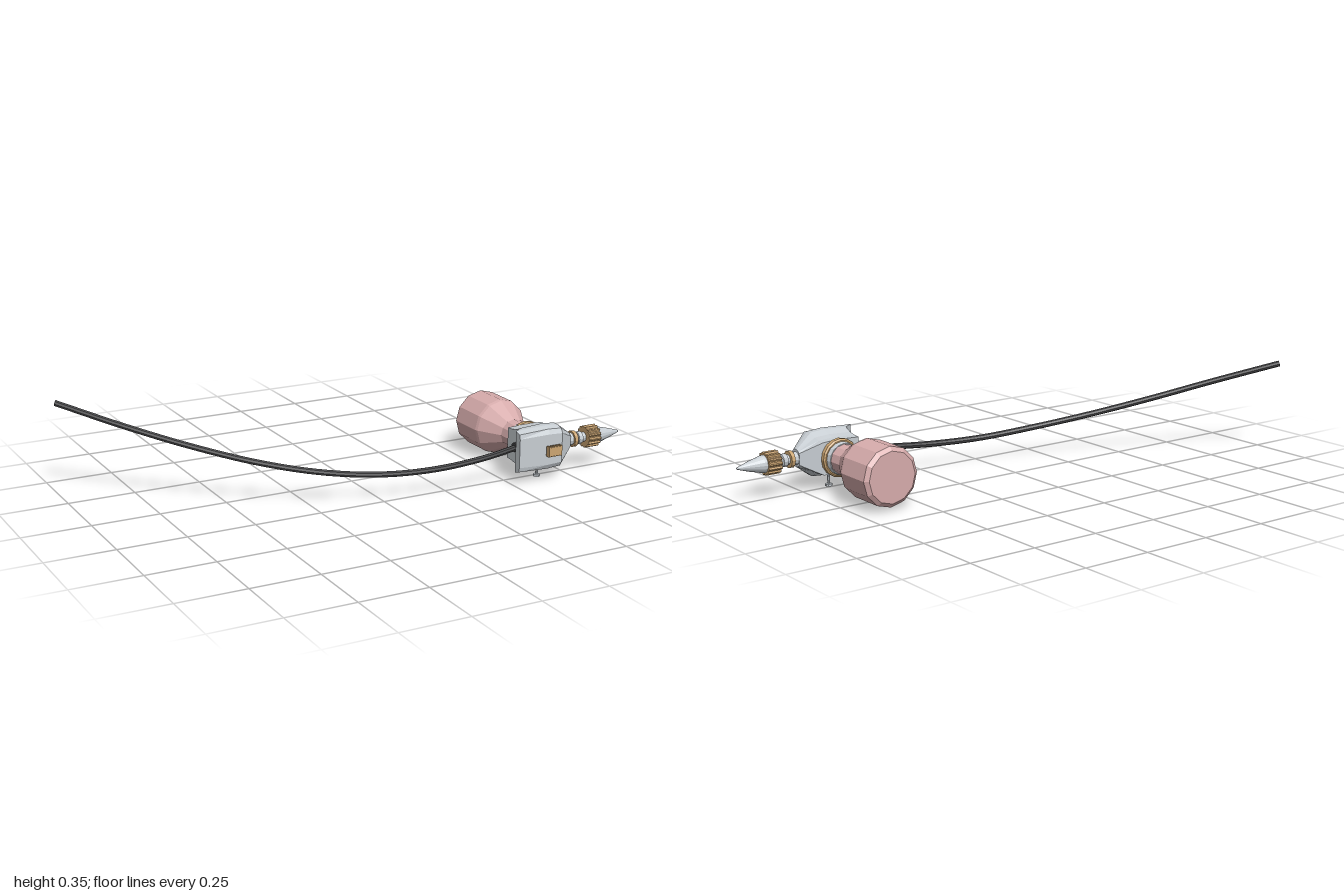
import * as THREE from 'three';

const mat = (color, flatShading = true) =>
  new THREE.MeshStandardMaterial({ color, flatShading, side: THREE.DoubleSide });
const METAL = 0xc8ced3, BRASS = 0xcda672, PINK = 0xd8adad, RUBBER = 0x454547;
const CY = 0.122, CZ = 0.265, CX = 0.635; // nozzle axis height and depth, bottle axis x

export function createModel() {
  const root = new THREE.Group();
  const add = (name, geo, color, flat = true) => {
    const m = new THREE.Mesh(geo, mat(color, flat));
    m.name = name;
    root.add(m);
    return m;
  };
  const lathe = (pts, n) => new THREE.LatheGeometry(pts.map(p => new THREE.Vector2(p[0], p[1])), n);
  // profiles are [radius, position along +x] or [radius, distance behind z = 0.2]
  const alongX = (name, pts, n, color) =>
    add(name, lathe(pts, n).rotateZ(-Math.PI / 2).translate(0, CY, CZ), color);
  const backward = (name, pts, n, color) =>
    add(name, lathe(pts, n).rotateX(-Math.PI / 2).translate(CX, 0.12, 0.2), color);

  // Housing: faceted cross-sections lofted from the hose side to the nozzle
  const half = [[0.336, 0.058], [0.326, 0.076], [0.302, 0.084], [0.277, 0.084], [0.25, 0.07], [0.222, 0.064], [0.194, 0.062]];
  const outline = [...half.map(([z, h]) => [z, -h]), ...half.slice().reverse().map(([z, h]) => [z, h])];
  const n = outline.length;
  const sections = [
    outline.map(([z, h]) => [z > 0.3 ? 0.515 : 0.55, CY + h * 0.94, z > 0.33 ? 0.33 : z]),
    outline.map(([z, h]) => [0.64, CY + h, z]),
    outline.map(([z, h]) => [0.695, CY + h * 0.95, z]),
    outline.map(([z, h]) => {
      const a = Math.atan2(h, z - CZ);
      return [0.765, CY + 0.032 * Math.sin(a), CZ + 0.032 * Math.cos(a)];
    }),
  ];
  const verts = sections.flat(2), index = [];
  for (let s = 0; s < sections.length - 1; s++) {
    for (let i = 0; i < n; i++) {
      const a = s * n + i, a2 = s * n + (i + 1) % n;
      index.push(a, a2, a + n, a2, a2 + n, a + n);
    }
  }
  const last = (sections.length - 1) * n;
  for (let i = 0; i < n / 2 - 1; i++) { // end caps as strips between bottom and top
    const j = n - 1 - i;
    index.push(i, j, i + 1, i + 1, j, j - 1);
    index.push(last + i, last + i + 1, last + j, last + i + 1, last + j - 1, last + j);
  }
  const body = new THREE.BufferGeometry();
  body.setAttribute('position', new THREE.Float32BufferAttribute(verts, 3));
  body.setIndex(index);
  body.computeVertexNormals();
  add('housing', body, METAL);

  // Bottle with its neck and collar rings
  backward('bottle', [[0, 0.04], [0.055, 0.04], [0.055, 0.098], [0.104, 0.188], [0.107, 0.2],
    [0.107, 0.338], [0.092, 0.35], [0, 0.35]], 12, PINK);
  backward('bottleNeck', [[0, 0], [0.06, 0], [0.06, 0.03], [0.057, 0.045], [0, 0.045]], 16, METAL);
  backward('bottleCollar', [[0, 0.002], [0.064, 0.002], [0.07, 0.006], [0.07, 0.021], [0.064, 0.026], [0, 0.026]], 16, BRASS);

  // Nozzle assembly
  alongX('nozzleNeck', [[0, 0.755], [0.024, 0.755], [0.024, 0.782], [0.018, 0.785], [0.018, 0.805],
    [0.024, 0.807], [0.024, 0.824], [0.018, 0.826], [0.018, 0.85]], 12, METAL);
  alongX('nozzleRing', [[0, 0.783], [0.031, 0.783], [0.031, 0.797], [0, 0.797]], 12, BRASS);
  const teeth = 14, cap = new THREE.Shape();
  for (let i = 0; i < teeth * 4; i++) {
    const a = i / (teeth * 4) * Math.PI * 2, r = i % 4 < 2 ? 0.042 : 0.037;
    cap[i ? 'lineTo' : 'moveTo'](r * Math.cos(a), r * Math.sin(a));
  }
  add('knurledCap', new THREE.ExtrudeGeometry(cap, { depth: 0.052, bevelEnabled: false })
    .rotateY(Math.PI / 2).translate(0.84, CY, CZ), BRASS);
  alongX('nozzleTip', [[0, 0.885], [0.033, 0.885], [0.031, 0.902], [0.018, 0.952], [0.004, 0.996], [0, 1]], 16, METAL);

  // Front control knob: stem and ribbed grip
  add('knobStem', new THREE.CylinderGeometry(0.014, 0.014, 0.025, 10)
    .rotateX(Math.PI / 2).translate(0.648, CY, 0.342), BRASS);
  add('knobGrip', new THREE.BoxGeometry(0.056, 0.034, 0.02).translate(0.648, CY, 0.355), BRASS);
  for (let i = 0; i < 5; i++) {
    add('knobRib', new THREE.BoxGeometry(0.006, 0.04, 0.016)
      .translate(0.648 + (i - 2) * 0.0125, CY, 0.356), BRASS);
  }

  // Adjusting screw under the housing
  add('screwShaft', new THREE.CylinderGeometry(0.005, 0.005, 0.05, 8).translate(CX, 0.03, CZ), METAL);
  add('screwHead', new THREE.CylinderGeometry(0.013, 0.013, 0.008, 10).translate(CX, 0.004, CZ), METAL);

  // Trailing hose and its socket
  const path = new THREE.CatmullRomCurve3([
    [-0.995, 0.342, -0.355], [-0.8, 0.272, -0.197], [-0.6, 0.206, -0.06], [-0.4, 0.151, 0.06],
    [-0.2, 0.112, 0.153], [0, 0.09, 0.213], [0.2, 0.089, 0.252], [0.4, 0.105, 0.267], [0.57, 0.126, 0.258],
  ].map(p => new THREE.Vector3(...p)));
  add('hose', new THREE.TubeGeometry(path, 48, 0.0115, 8), RUBBER);
  const end = new THREE.CircleGeometry(0.0115, 8);
  const capMesh = add('hoseEnd', end, RUBBER);
  capMesh.position.copy(path.getPoint(0));
  capMesh.quaternion.setFromUnitVectors(new THREE.Vector3(0, 0, 1), path.getTangent(0).negate());
  add('hoseSocket', new THREE.CylinderGeometry(0.018, 0.018, 0.02, 10)
    .rotateZ(Math.PI / 2).translate(0.545, 0.124, 0.26), RUBBER);
  return root;
}
